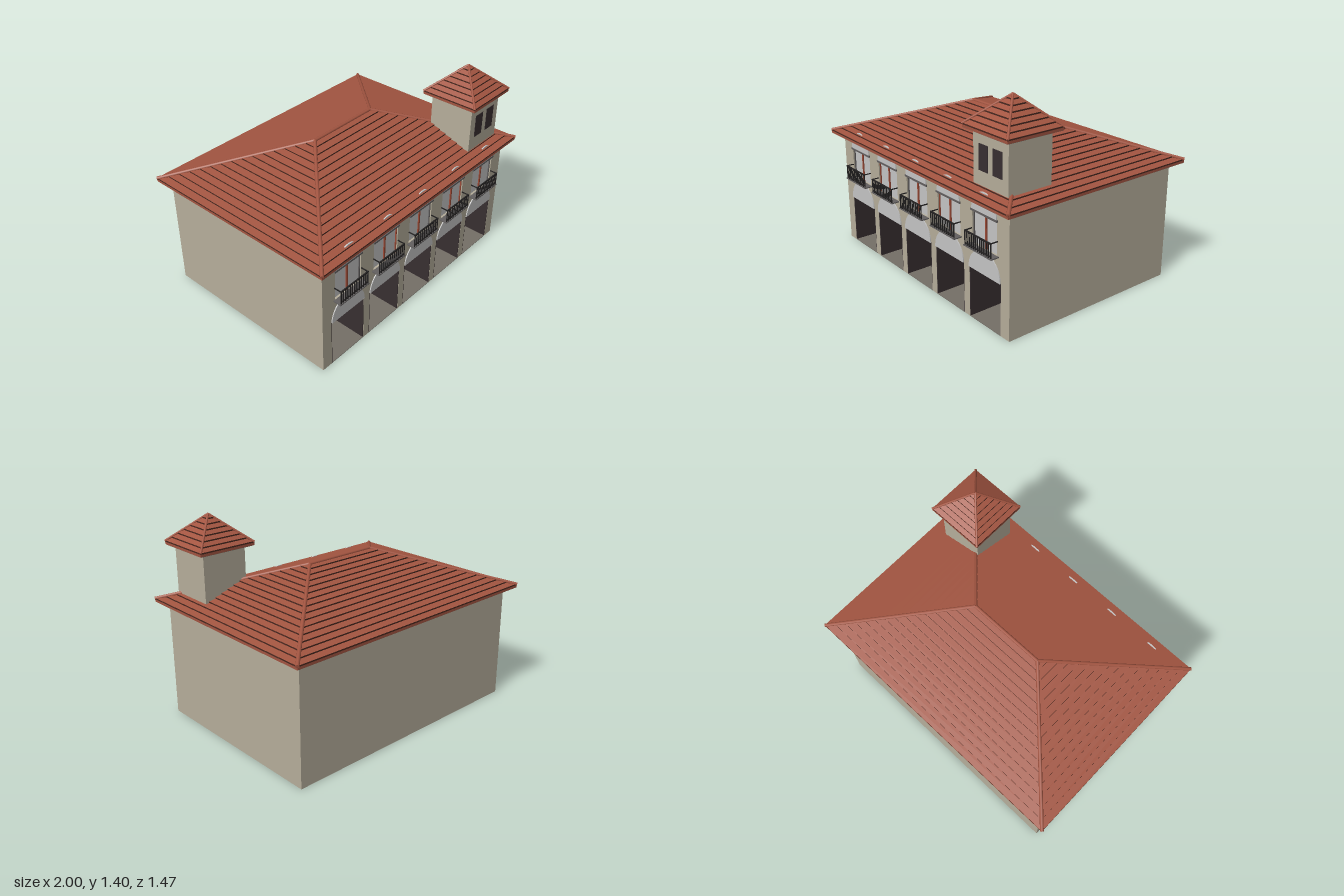
import * as THREE from 'three';

const mat = (name, color, side = THREE.FrontSide) => {
  const m = new THREE.MeshStandardMaterial({ color, side });
  m.name = name;
  return m;
};

export function createModel() {
  const wall = mat('stucco', 0xb6ae9b);
  const tile = mat('terracotta', 0xa35541);
  const groove = mat('tileShadow', 0x4a2920);
  const stone = mat('paleStone', 0xc6c6c6);
  const dark = mat('darkInterior', 0x382f31);
  const floorGrey = mat('floorGrey', 0x756f67);
  const iron = mat('iron', 0x242222);
  const frame = mat('greyFrame', 0x636060);
  const red = mat('redWood', 0x9c4a36);

  const model = new THREE.Group();
  model.name = 'villa';

  const add = (parent, name, geometry, material) => {
    const m = new THREE.Mesh(geometry, material);
    m.name = name;
    parent.add(m);
    return m;
  };
  // box given by its two extreme corners
  const box = (parent, name, material, x0, x1, y0, y1, z0, z1) => {
    const m = add(parent, name, new THREE.BoxGeometry(x1 - x0, y1 - y0, z1 - z0), material);
    m.position.set((x0 + x1) / 2, (y0 + y1) / 2, (z0 + z1) / 2);
    return m;
  };
  const group = (name, x = 0, y = 0, z = 0) => {
    const g = new THREE.Group();
    g.name = name;
    g.position.set(x, y, z);
    model.add(g);
    return g;
  };
  const quadGeometry = (points) => {
    const g = new THREE.BufferGeometry();
    g.setAttribute('position', new THREE.Float32BufferAttribute(points, 3));
    g.computeVertexNormals();
    return g;
  };

  // Hipped roof in stepped tile courses, with eave slab, soffit and rounded caps
  function hipRoof(name, x, z, w, d, ridge, eave, y0, y1, rows, step, capR) {
    const g = group(name, x, 0, z);
    const corners = (t, y) => {
      const a = w - t * (w - ridge), b = d * (1 - t);
      return [[a, y, b], [a, y, -b], [-a, y, -b], [-a, y, b]];
    };
    const band = (out, lo, hi) => {
      for (let i = 0; i < 4; i++) {
        const j = (i + 1) % 4;
        out.push(...lo[i], ...lo[j], ...hi[j], ...lo[i], ...hi[j], ...hi[i]);
      }
    };
    const slopes = [], risers = [];
    for (let i = 0; i < rows; i++) {
      const t = i / rows, u = (i + 1) / rows;
      const y = y0 + (y1 - y0) * t, top = y0 + (y1 - y0) * u;
      band(risers, corners(t, y), corners(t, y + step));
      band(slopes, corners(t, y + step), corners(u, top));
    }
    add(g, 'tileCourses', quadGeometry(slopes), tile);
    add(g, 'courseEdges', quadGeometry(risers), groove);
    box(g, 'eaveSlab', tile, -w, w, eave + 0.003, y0, -d, d);
    box(g, 'soffit', floorGrey, -w + 0.004, w - 0.004, eave, eave + 0.003, -d + 0.004, d - 0.004);

    // caps along the four hips and the ridge
    const cap = (part, a, b) => {
      const dir = b.clone().sub(a);
      const m = add(g, part, new THREE.CylinderGeometry(capR, capR, dir.length(), 8), tile);
      m.position.copy(a).add(b).multiplyScalar(0.5);
      m.quaternion.setFromUnitVectors(new THREE.Vector3(0, 1, 0), dir.normalize());
    };
    for (const sx of [-1, 1]) for (const sz of [-1, 1]) {
      cap('hipCap', new THREE.Vector3(sx * w, y0 + step * 0.6, sz * d), new THREE.Vector3(sx * ridge, y1, 0));
    }
    if (ridge > 0) cap('ridgeCap', new THREE.Vector3(-ridge, y1, 0), new THREE.Vector3(ridge, y1, 0));
  }

  // Hollow main block
  const bays = [-0.7, -0.35, 0, 0.35, 0.7];
  const W = 0.925, D = 0.66, H = 0.8, doorW = 0.148, doorH = 0.34, winW = 0.115;
  const block = group('mainBlock');
  box(block, 'backWall', wall, -W, W, 0, H, -D, -D + 0.01);
  for (const s of [-1, 1]) {
    const x = s * (W - 0.005);
    box(block, 'sideWall', wall, x - 0.005, x + 0.005, 0, H, -D + 0.01, D);
  }

  // Front wall with doorway notches and window openings
  const front = new THREE.Shape();
  front.moveTo(-W + 0.01, 0);
  for (const x of bays) {
    front.lineTo(x - doorW, 0);
    front.lineTo(x - doorW, doorH);
    front.lineTo(x + doorW, doorH);
    front.lineTo(x + doorW, 0);
    const hole = new THREE.Path();
    hole.moveTo(x - winW, 0.5);
    hole.lineTo(x - winW, 0.715);
    hole.lineTo(x + winW, 0.715);
    hole.lineTo(x + winW, 0.5);
    hole.closePath();
    front.holes.push(hole);
  }
  front.lineTo(W - 0.01, 0);
  front.lineTo(W - 0.01, H);
  front.lineTo(-W + 0.01, H);
  const frontWall = add(block, 'frontWall',
    new THREE.ExtrudeGeometry(front, { depth: 0.02, bevelEnabled: false }), wall);
  frontWall.position.z = D - 0.02;

  // Half-elliptical plate used above doors and windows
  const archPlate = (parent, name, rx, ry, y) => {
    const s = new THREE.Shape();
    s.moveTo(rx, 0);
    s.absellipse(0, 0, rx, ry, 0, Math.PI, false, 0);
    s.closePath();
    const m = add(parent, name, new THREE.ExtrudeGeometry(s,
      { depth: 0.009, bevelEnabled: false, curveSegments: 20 }), stone);
    m.position.set(0, y, D - 0.002);
  };

  bays.forEach((x, i) => {
    // Ground-floor recess
    const door = group('archedDoorway', x);
    const back = D - 0.27;
    box(door, 'recessBack', dark, -doorW, doorW, 0, doorH, back, back + 0.006);
    box(door, 'recessCeiling', dark, -doorW, doorW, doorH - 0.004, doorH, back, D - 0.001);
    box(door, 'recessFloor', floorGrey, -doorW, doorW, 0, 0.004, back + 0.006, D);
    for (const s of [-1, 1]) {
      const sx = s * (doorW - 0.002);
      box(door, 'recessSide', dark, sx - 0.003, sx + 0.003, 0.001, doorH, back, D - 0.001);
    }
    archPlate(door, 'doorArch', doorW, 0.15, doorH);

    // Balcony window
    const win = group('balconyWindow', x);
    box(win, 'glass', stone, -winW, winW, 0.5, 0.715, D - 0.026, D - 0.016);
    box(win, 'centreMullion', red, -0.006, 0.006, 0.5, 0.715, D - 0.016, D - 0.008);
    for (const s of [-1, 1]) {
      const sx = s * (winW - 0.003);
      box(win, 'sideFrame', i % 2 ? red : frame, sx - 0.003, sx + 0.003, 0.5, 0.715, D - 0.016, D - 0.008);
    }
    box(win, 'lintel', frame, -0.122, 0.122, 0.712, 0.725, D - 0.015, D + 0.009);
    archPlate(win, 'windowArch', winW, 0.13, 0.725);

    // Balcony with railing
    const balcony = group('balcony', x);
    const z = 0.711, bw = 0.123;
    box(balcony, 'slab', frame, -0.13, 0.13, 0.497, 0.504, D, 0.717);
    box(balcony, 'topRail', iron, -bw, bw, 0.592, 0.6, z - 0.004, z + 0.004);
    box(balcony, 'bottomRail', iron, -bw, bw, 0.513, 0.519, z - 0.003, z + 0.003);
    for (let k = 0; k <= 12; k++) {
      const px = -bw + 0.003 + (k / 12) * (2 * bw - 0.006);
      box(balcony, 'baluster', iron, px - 0.003, px + 0.003, 0.504, 0.594, z - 0.003, z + 0.003);
    }
    for (const s of [-1, 1]) {
      const sx = s * (bw - 0.003);
      box(balcony, 'sideRail', iron, sx - 0.003, sx + 0.003, 0.593, 0.599, D, z);
    }
  });

  hipRoof('mainRoof', 0, 0, 0.99, 0.725, 0.27, 0.8, 0.82, 1.075, 15, 0.009, 0.012);

  // Corner tower
  const tx = 0.712, tz = 0.466, th = 0.158;
  const tower = group('tower', tx, 0, tz);
  box(tower, 'towerWalls', wall, -th, th, 0.825, 1.19, -th, th);
  for (const s of [-1, 1]) {
    box(tower, 'towerWindow', dark, s * 0.064 - 0.041, s * 0.064 + 0.041, 0.955, 1.115, th, th + 0.003);
  }
  hipRoof('towerRoof', tx, tz, 0.203, 0.203, 0, 1.19, 1.21, 1.395, 7, 0.009, 0.008);

  return model;
}
